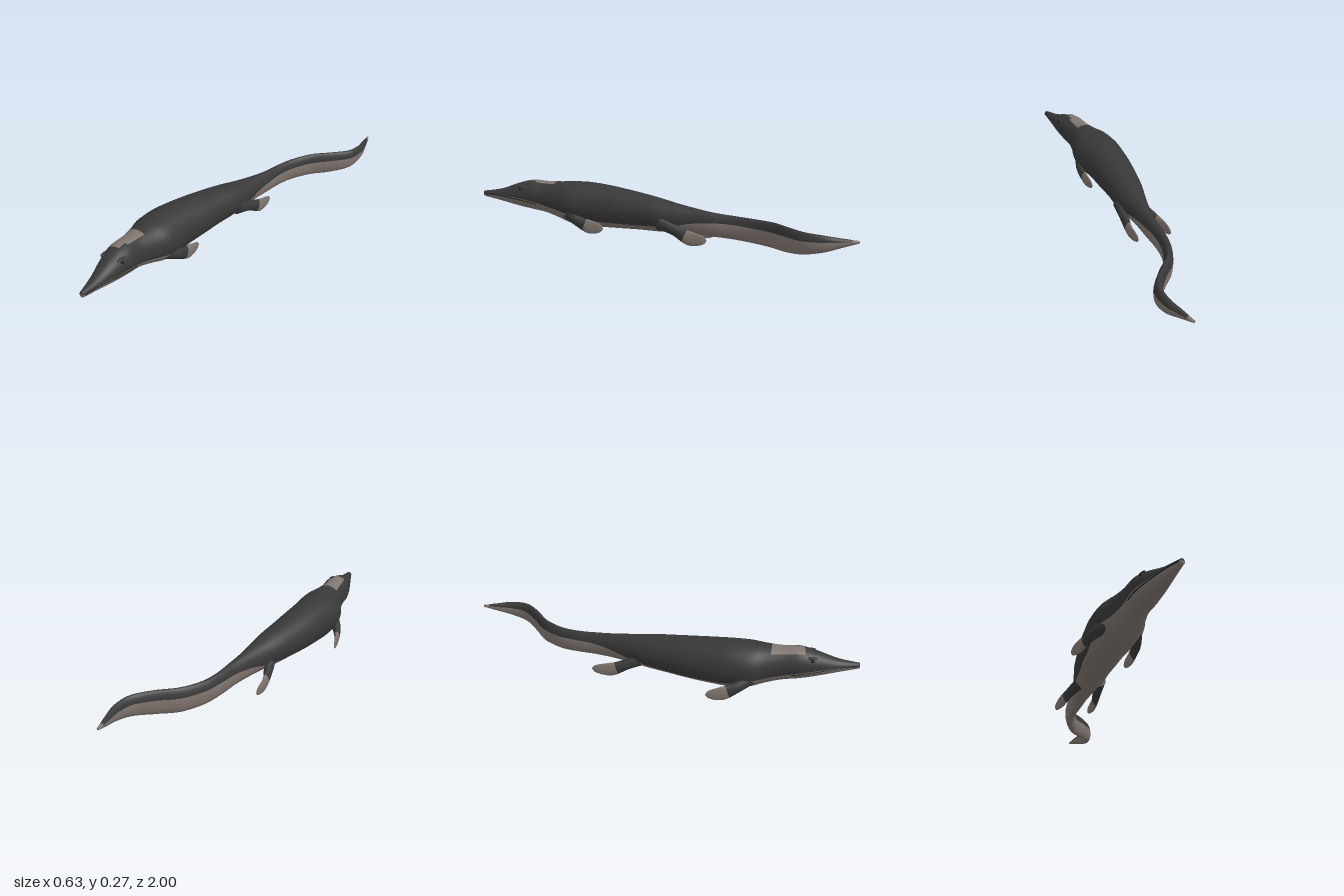
import * as THREE from 'three';

const dark = new THREE.MeshStandardMaterial({ color: 0x383838 });
dark.name = 'dark hide';
const light = new THREE.MeshStandardMaterial({ color: 0x80756f });
light.name = 'pale belly';
const black = new THREE.MeshStandardMaterial({ color: 0x1c1c1c });
black.name = 'eye and mouth black';

const V = (x, y, z) => new THREE.Vector3(x, y, z);
const UP = V(0, 1, 0);

// Body stations from snout to tail: [z, x, half width, top, bottom, colour border]
const stations = [
  [1.0, -0.153, 0.012, 0.2, 0.172, 0.188],
  [0.9, -0.158, 0.034, 0.216, 0.15, 0.187],
  [0.8, -0.163, 0.058, 0.25, 0.126, 0.177],
  [0.72, -0.167, 0.071, 0.27, 0.11, 0.165],
  [0.64, -0.167, 0.073, 0.266, 0.095, 0.145],
  [0.56, -0.163, 0.092, 0.267, 0.07, 0.128],
  [0.49, -0.16, 0.117, 0.271, 0.047, 0.115],
  [0.4, -0.155, 0.118, 0.271, 0.037, 0.09],
  [0.3, -0.14, 0.11, 0.263, 0.037, 0.08],
  [0.2, -0.12, 0.104, 0.25, 0.04, 0.08],
  [0.1, -0.097, 0.093, 0.236, 0.044, 0.08],
  [0.0, -0.071, 0.083, 0.22, 0.046, 0.085],
  [-0.1, -0.046, 0.064, 0.201, 0.05, 0.095],
  [-0.2, -0.023, 0.045, 0.185, 0.052, 0.115],
  [-0.3, 0.0, 0.034, 0.172, 0.05, 0.125],
  [-0.4, 0.018, 0.028, 0.165, 0.046, 0.125],
  [-0.5, 0.05, 0.025, 0.162, 0.041, 0.12],
  [-0.6, 0.115, 0.022, 0.165, 0.04, 0.12],
  [-0.67, 0.2, 0.021, 0.168, 0.046, 0.125],
  [-0.75, 0.278, 0.021, 0.166, 0.06, 0.127],
  [-0.84, 0.3, 0.019, 0.16, 0.08, 0.13],
  [-0.92, 0.292, 0.015, 0.149, 0.104, 0.133],
  [-1.0, 0.282, 0.006, 0.139, 0.128, 0.135],
];
const curve = (f) => new THREE.CatmullRomCurve3(stations.map(f), false, 'catmullrom');
const spine = curve(([z, x]) => V(x, 0, z));
const size = curve(([, , w, top, bottom]) => V(w, top, bottom));
const border = curve((s) => V(s[5], 0, 0));

// Cross-section frame of the body at t
function frame(t) {
  const s = size.getPoint(t);
  const cy = (s.y + s.z) / 2, h = (s.y - s.z) / 2;
  const c = spine.getPoint(t).setY(cy);
  const side = spine.getTangent(t).cross(UP).normalize();
  const split = Math.asin(THREE.MathUtils.clamp((border.getPoint(t).x - cy) / h, -0.95, 0.95));
  return { c, side, w: s.x, h, split };
}
const bodyPoint = (f, a, k = 1) =>
  f.c.clone().addScaledVector(f.side, f.w * Math.cos(a) * k).addScaledVector(UP, f.h * Math.sin(a) * k);

// Smooth skin over closed rings, with one of the materials chosen per face
function loft(name, rings, materials, pick) {
  const n = rings[0].length, last = rings.length - 1;
  const verts = rings.flat();
  const centre = (r) => r.reduce((s, p) => s.add(p), V(0, 0, 0)).divideScalar(n);
  const p0 = verts.length, p1 = p0 + 1;
  const all = [...verts, centre(rings[0]), centre(rings[last])];
  const faces = materials.map(() => []);
  for (let j = 0; j < n; j++) {
    const k = (j + 1) % n;
    for (let i = 0; i < last; i++) {
      const a = i * n + j, b = i * n + k;
      faces[pick(i, j)].push(a, a + n, b, b, a + n, b + n);
    }
    faces[pick(0, j)].push(p0, j, k);
    faces[pick(last - 1, j)].push(p1, last * n + k, last * n + j);
  }
  const geo = new THREE.BufferGeometry().setFromPoints(all);
  geo.setIndex(faces.flat());
  let start = 0;
  faces.forEach((f, m) => {
    geo.addGroup(start, f.length, m);
    start += f.length;
  });
  geo.computeVertexNormals();
  const mesh = new THREE.Mesh(geo, materials);
  mesh.name = name;
  return mesh;
}

// Body: half of each ring lies above the colour border, half below
function body() {
  const R = 160, H = 18, rings = [], zs = [];
  for (let i = 0; i <= R; i++) {
    const f = frame(i / R), ring = [];
    for (let j = 0; j < 2 * H; j++) {
      const a = j < H
        ? THREE.MathUtils.lerp(f.split, Math.PI - f.split, j / H)
        : THREE.MathUtils.lerp(Math.PI - f.split, 2 * Math.PI + f.split, (j - H) / H);
      ring.push(bodyPoint(f, a));
    }
    rings.push(ring);
    zs.push(f.c.z);
  }
  return loft('body', rings, [dark, light], (i, j) => {
    const z = zs[i];
    const crown = z > 0.595 && z < 0.745 && j >= (z > 0.7 ? 8 : 7) && j <= 11;
    return j >= H || crown || z < -0.965 ? 1 : 0;
  });
}

// Paddle: flattened sections along a path, pale towards the tip
function flipper(name, path, reach) {
  const c = new THREE.CatmullRomCurve3(path.map((p) => V(...p)));
  const R = 28, N = 20, rings = [];
  for (let i = 0; i <= R; i++) {
    const t = i / R, p = c.getPoint(t), T = c.getTangent(t);
    const thin = V(1, 0, 0).addScaledVector(T, -T.x).normalize();
    const wide = thin.clone().cross(T);
    const tip = Math.sqrt(Math.max(0.004, 1 - Math.pow(t, 5)));
    const w = reach * tip * (1 - 0.3 * Math.sin(Math.PI * Math.min(1, t * 1.5)));
    const d = THREE.MathUtils.lerp(0.034, 0.008, Math.min(1, t * 1.3)) * tip;
    rings.push(Array.from({ length: N }, (_, j) => {
      const a = (j / N) * Math.PI * 2;
      return p.clone().addScaledVector(thin, d * Math.cos(a)).addScaledVector(wide, w * Math.sin(a));
    }));
  }
  return loft(name, rings, [dark, light], (i) => (i > R * 0.56 ? 1 : 0));
}

export function createModel() {
  const model = new THREE.Group();
  model.name = 'marineReptile';
  model.add(body());

  model.add(
    flipper('frontRightFlipper', [[-0.225, 0.125, 0.5], [-0.272, 0.09, 0.44], [-0.298, 0.062, 0.37], [-0.312, 0.055, 0.29]], 0.04),
    flipper('frontLeftFlipper', [[-0.095, 0.12, 0.5], [-0.055, 0.085, 0.44], [-0.042, 0.057, 0.37], [-0.037, 0.05, 0.29]], 0.04),
    flipper('rearRightFlipper', [[-0.085, 0.1, -0.04], [-0.112, 0.07, -0.12], [-0.128, 0.042, -0.2], [-0.128, 0.036, -0.3]], 0.04),
    flipper('rearLeftFlipper', [[-0.01, 0.105, -0.02], [0.018, 0.078, -0.1], [0.038, 0.044, -0.18], [0.046, 0.037, -0.27]], 0.04),
  );

  // Mouth lines and eyes on both sides of the head
  for (const left of [true, false]) {
    const mirror = (a) => (left ? a : Math.PI - a);
    const line = [];
    for (let i = 0; i <= 10; i++) {
      const f = frame(0.002 + i * 0.0155);
      line.push(bodyPoint(f, mirror(f.split - 0.12), 0.99));
    }
    const mouth = new THREE.Mesh(new THREE.TubeGeometry(new THREE.CatmullRomCurve3(line), 30, 0.003, 6), black);
    mouth.name = left ? 'leftMouthLine' : 'rightMouthLine';

    const eye = new THREE.Mesh(new THREE.SphereGeometry(0.01, 16, 12), black);
    eye.position.copy(bodyPoint(frame(0.105), mirror(0.6), 0.95));
    eye.name = left ? 'leftEye' : 'rightEye';

    const brow = new THREE.Mesh(new THREE.SphereGeometry(0.014, 16, 12), dark);
    brow.scale.set(0.7, 0.45, 2);
    brow.position.copy(bodyPoint(frame(0.107), mirror(0.78), 0.98));
    brow.name = left ? 'leftBrow' : 'rightBrow';
    model.add(mouth, eye, brow);
  }
  return model;
}
